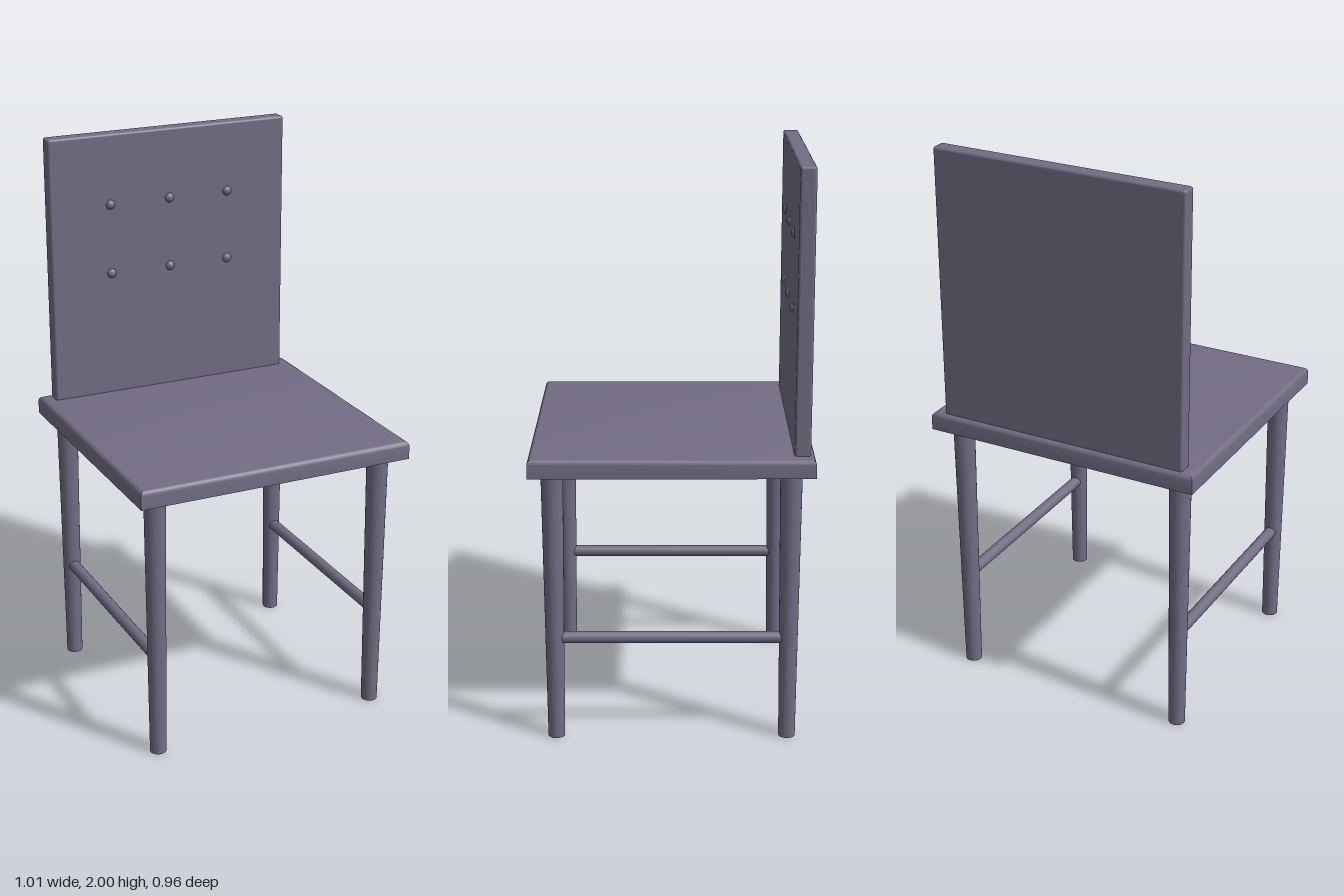
import * as THREE from 'three';
import { toCreasedNormals } from 'three/addons/utils/BufferGeometryUtils.js';
import { RoundedBoxGeometry } from 'three/addons/geometries/RoundedBoxGeometry.js';

const paint = new THREE.MeshStandardMaterial({ color: 0x736c84 });
paint.name = 'muted purple';

function add(parent, name, geometry, x, y, z) {
  const mesh = new THREE.Mesh(geometry, paint);
  mesh.name = name;
  mesh.position.set(x, y, z);
  parent.add(mesh);
  return mesh;
}

// Square-cornered slab with a flat bottom and a rounded top edge
function slab(width, height, depth, round) {
  const profile = [[0, 0], [1, 0]];
  for (let i = 0; i <= 4; i++) {
    const a = (i / 4) * Math.PI / 2;
    profile.push([1 - round * 2 / width * (1 - Math.cos(a)), height - round * (1 - Math.sin(a))]);
  }
  profile.push([0, height]);
  const points = profile.map(([r, y]) => new THREE.Vector2(r * Math.SQRT2, y));
  const geometry = new THREE.LatheGeometry(points, 4);
  geometry.rotateY(Math.PI / 4);
  geometry.scale(width / 2, 1, depth / 2);
  return toCreasedNormals(geometry, 0.5);
}

export function createModel() {
  const chair = new THREE.Group();
  chair.name = 'chair';

  add(chair, 'seat', slab(1.01, 0.065, 0.962, 0.018), 0, 0.97, 0);
  add(chair, 'backrest', new RoundedBoxGeometry(0.918, 0.975, 0.055, 3, 0.009), 0, 1.5125, -0.4375);

  // Two rows of buttons on the backrest
  const buttons = new THREE.Group();
  buttons.name = 'buttons';
  chair.add(buttons);
  for (const y of [1.49, 1.745]) {
    for (const x of [-0.23, 0, 0.23]) {
      add(buttons, 'button', new THREE.SphereGeometry(0.019, 20, 14), x, y, -0.417);
    }
  }

  // Tapered legs, with one side stretcher joining each pair
  for (const side of [-1, 1]) {
    const label = side > 0 ? 'left' : 'right';
    for (const end of [-1, 1]) {
      const name = label + (end > 0 ? 'FrontLeg' : 'BackLeg');
      add(chair, name, new THREE.CylinderGeometry(0.038, 0.029, 0.975, 24), side * 0.424, 0.4875, end * 0.403);
    }
    const bar = new THREE.CylinderGeometry(0.021, 0.021, 0.78, 20);
    bar.rotateX(Math.PI / 2);
    add(chair, label + 'Stretcher', bar, side * 0.424, 0.37, 0);
  }
  return chair;
}
